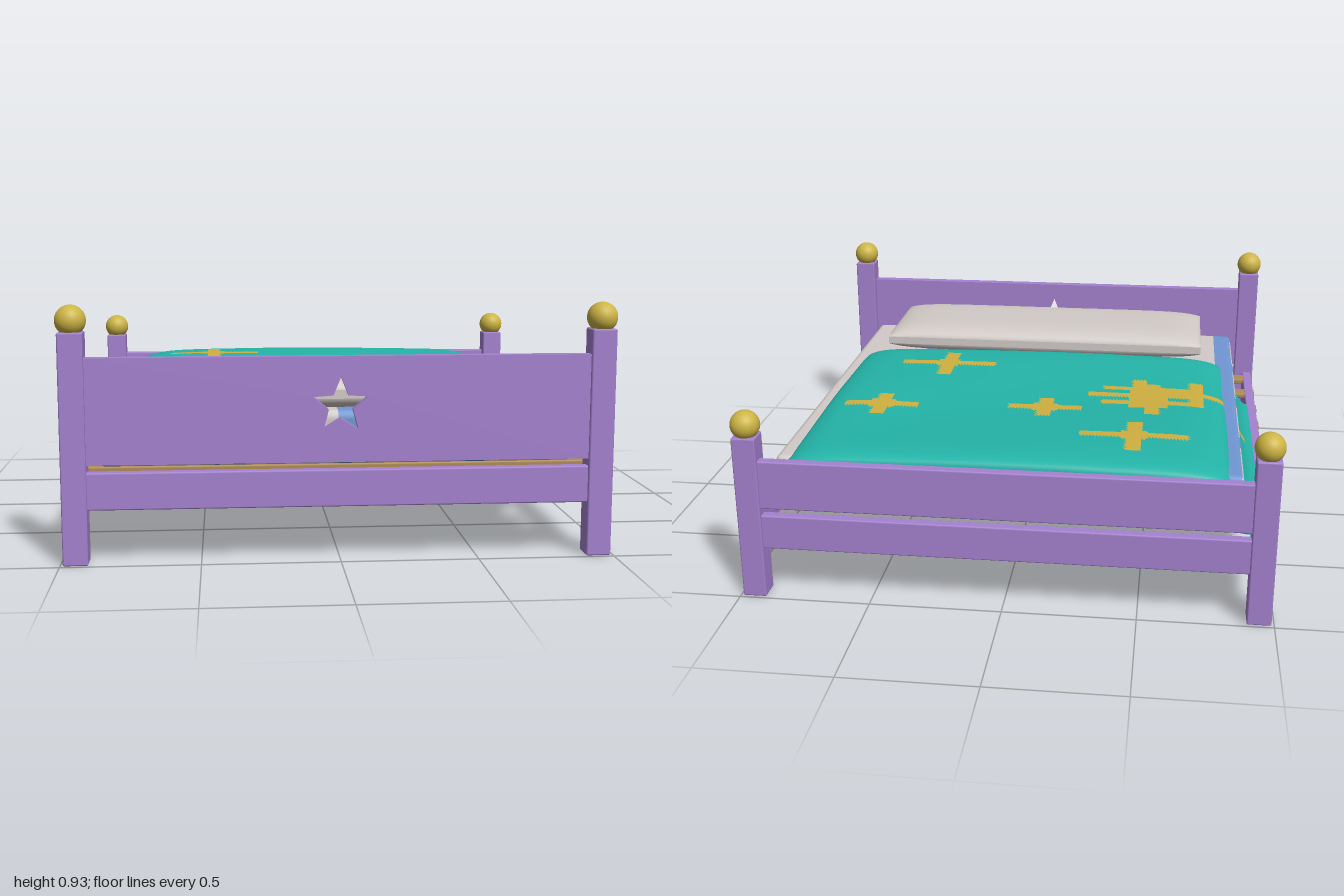
import * as THREE from 'three';
import { RoundedBoxGeometry } from 'three/addons/geometries/RoundedBoxGeometry.js';

const mat = (name, color) => {
  const m = new THREE.MeshStandardMaterial({ color });
  m.name = name;
  return m;
};

// Sort triangles into two material groups: those failing and passing a test
function splitFaces(geo, test) {
  const idx = geo.index.array, plain = [], painted = [];
  const p = geo.attributes.position;
  for (let t = 0; t < idx.length; t += 3) {
    const tri = [idx[t], idx[t + 1], idx[t + 2]];
    const x = tri.reduce((s, i) => s + p.getX(i), 0) / 3;
    const z = tri.reduce((s, i) => s + p.getZ(i), 0) / 3;
    (test(x, z, tri[0]) ? painted : plain).push(...tri);
  }
  geo.setIndex(plain.concat(painted));
  geo.clearGroups();
  geo.addGroup(0, plain.length, 0);
  geo.addGroup(plain.length, painted.length, 1);
}

// Rounded mattress, striped across x on the broad faces and across z on the sides
function mattressGeometry() {
  const geo = new THREE.BoxGeometry(1.8, 0.26, 1.8, 64, 8, 64);
  const p = geo.attributes.position, n = geo.attributes.normal;
  const inStripe = (v) => ((v % 0.45) + 0.45) % 0.45 < 0.1125;
  splitFaces(geo, (x, z, i) => inStripe(Math.abs(n.getX(i)) > 0.5 ? -z : x));
  const v = new THREE.Vector3(), inner = new THREE.Vector3();
  const lim = new THREE.Vector3(0.845, 0.075, 0.845), low = lim.clone().negate();
  for (let i = 0; i < p.count; i++) {
    v.fromBufferAttribute(p, i);
    inner.copy(v).clamp(low, lim);
    v.sub(inner).normalize();
    n.setXYZ(i, v.x, v.y, v.z);
    inner.addScaledVector(v, 0.025);
    p.setXYZ(i, inner.x, inner.y, inner.z);
  }
  return geo;
}

// Cushion swelling from a thin rim
function pillowGeometry() {
  const geo = new THREE.BoxGeometry(2, 2, 2, 32, 2, 24);
  const p = geo.attributes.position;
  for (let i = 0; i < p.count; i++) {
    const u = Math.sin(p.getX(i) * Math.PI / 2), w = Math.sin(p.getZ(i) * Math.PI / 2);
    const swell = Math.sqrt(Math.max(0, (1 - Math.abs(u) ** 8) * (1 - Math.abs(w) ** 4)));
    p.setXYZ(i, u * 0.72, p.getY(i) * (0.016 + 0.047 * swell), w * 0.253);
  }
  geo.computeVertexNormals();
  return geo;
}

// Patch rectangles on the blanket: [x0, z0, x1, z1]
function blanketPatches() {
  const rects = [
    [-0.55, -0.39, -0.49, 0], [-0.73, -0.26, -0.67, 0.04], [-0.49, -0.3, -0.43, 0.04],
    [-0.73, -0.26, -0.31, -0.215], [-0.67, -0.175, -0.25, -0.13], [-0.91, -0.135, -0.45, -0.09],
    [-0.67, -0.09, -0.31, -0.045], [-0.58, -0.3, -0.42, -0.045],
  ];
  const crosses = [[-0.46, -0.63, 0.21, 0.15], [-0.09, -0.328, 0.15, 0.107],
    [0.575, -0.37, 0.15, 0.107], [0.39, 0.147, 0.21, 0.15]];
  for (const [x, z, a, b] of crosses) {
    for (const [w, d] of [[a, 0.023], [0.029, b], [0.05, 0.043]]) rects.push([x - w, z - d, x + w, z + d]);
  }
  return rects;
}

// Draped sheet: a profile across x multiplied by a profile along z
function blanketGeometry() {
  const half = [[0.35, 0.24], [0.68, 0.235], [0.77, 0.22], [0.81, 0.2], [0.845, 0.145], [0.872, 0.098], [0.91, 0.035], [0.945, 0]];
  const curve = (pts) => new THREE.CatmullRomCurve3(pts.map(([a, h]) => new THREE.Vector3(a, h, 0)));
  const nx = 160, nz = 116;
  const across = curve([...half.map(([x, h]) => [-x, h]).reverse(), [0, 0.24], ...half]).getSpacedPoints(nx);
  const along = curve([[0.41, 0.84], [0.395, 0.93], [0.35, 1], [0, 1], [-0.4, 1], [-0.83, 1],
    [-0.9, 0.95], [-0.925, 0.75], [-0.933, 0.1]]).getSpacedPoints(nz);
  const pos = [], idx = [];
  along.forEach((q, j) => across.forEach((s, i) => {
    const wave = 0.006 * Math.sin(3 * s.x + 5 * q.x) * Math.min(1, s.y / 0.1);
    pos.push(s.x, 0.333 + Math.max(0, s.y) * q.y + wave, q.x);
    if (i < nx && j < nz) {
      const a = j * (nx + 1) + i, c = a + nx + 1;
      idx.push(a, a + 1, c, a + 1, c + 1, c);
    }
  }));
  const geo = new THREE.BufferGeometry();
  geo.setAttribute('position', new THREE.Float32BufferAttribute(pos, 3));
  geo.setIndex(idx);
  geo.computeVertexNormals();
  const rects = blanketPatches();
  splitFaces(geo, (x, z) => rects.some(([x0, z0, x1, z1]) => x > x0 && x < x1 && z > z0 && z < z1));
  return geo;
}

// Headboard panel with a star cut through it
function headboardGeometry() {
  const shape = new THREE.Shape([[-0.9, 0.36], [0.9, 0.36], [0.9, 0.74], [-0.9, 0.74]].map((c) => new THREE.Vector2(...c)));
  const star = [];
  for (let i = 0; i < 10; i++) {
    const r = i % 2 ? 0.046 : 0.105, a = Math.PI / 2 + i * Math.PI / 5;
    star.push(new THREE.Vector2(r * Math.cos(a), 0.563 + r * Math.sin(a)));
  }
  shape.holes.push(new THREE.Path(star));
  return new THREE.ExtrudeGeometry(shape, { depth: 0.042, bevelEnabled: false });
}

export function createModel() {
  const bed = new THREE.Group();
  bed.name = 'bed';
  const wood = mat('purple paint', 0xa582d0);
  const gold = mat('gold', 0xcdb545);
  const slatWood = mat('slat wood', 0xb08c58);
  const linen = mat('linen', 0xd2cbc8);
  const blue = mat('blue stripe', 0x7097d2);
  const teal = mat('teal cloth', 0x24b4a8);
  const yellow = mat('yellow patch', 0xd0b040);
  teal.side = yellow.side = THREE.DoubleSide;

  const add = (name, geo, material, x, y, z) => {
    const m = new THREE.Mesh(geo, material);
    m.name = name;
    m.position.set(x, y, z);
    bed.add(m);
  };
  const beam = (name, w, h, d, x, y, z, material = wood) =>
    add(name, new RoundedBoxGeometry(w, h, d, 1, 0.006), material, x, y, z);

  // Posts with ball finials, tall at the head and short at the foot
  for (const [end, z, h] of [['head', 0.945, 0.83], ['foot', -0.945, 0.642]]) {
    for (const x of [-0.945, 0.945]) {
      beam(end + 'Post', 0.09, h, 0.09, x, h / 2, z);
      add(end + 'Finial', new THREE.SphereGeometry(0.055, 32, 20), gold, x, h + 0.04, z);
    }
    beam(end + 'Rail', 1.81, 0.135, 0.042, 0, 0.265, Math.sign(z) * 0.957);
  }
  add('headboard', headboardGeometry(), wood, 0, 0, 0.936);
  beam('footboard', 1.81, 0.19, 0.042, 0, 0.455, -0.957);

  // Side rails and the slats across them
  for (const x of [-0.96, 0.96]) beam('sideRail', 0.042, 0.135, 1.81, x, 0.265, 0);
  for (let i = -4; i <= 4; i++) beam('slat', 1.97, 0.022, 0.075, 0, 0.32, i * 0.206, slatWood);

  // Bedding
  add('mattress', mattressGeometry(), [linen, blue], 0, 0.43, 0);
  add('pillow', pillowGeometry(), linen, 0, 0.594, 0.655);
  add('blanket', blanketGeometry(), [teal, yellow], 0, 0, 0);
  return bed;
}
